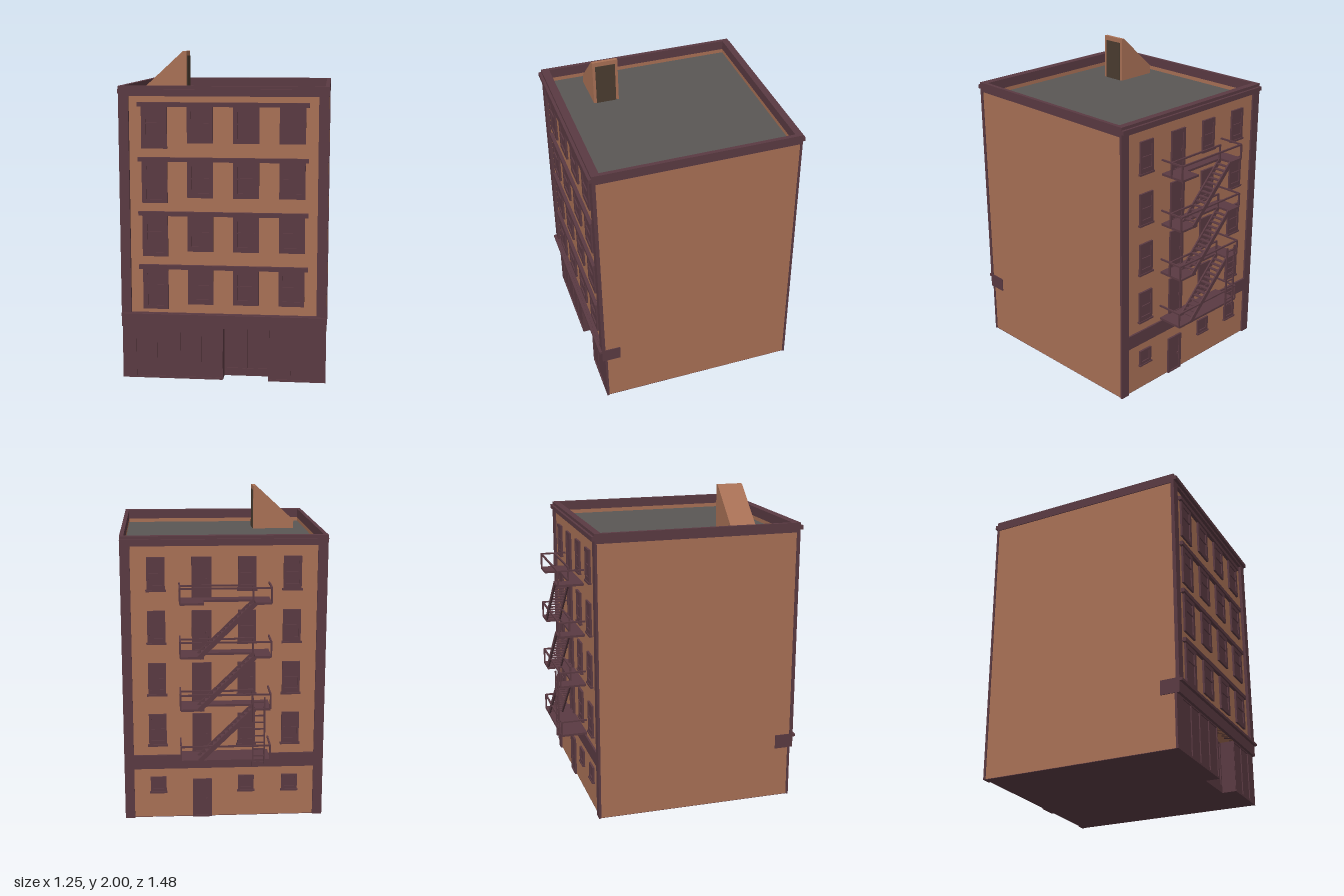
import * as THREE from 'three';

const mat = (color) => new THREE.MeshStandardMaterial({ color });
const brick = mat(0xa87055), trim = mat(0x5a3a42), roofing = mat(0x5a5755), darkDoor = mat(0x4a3c30);

const FLOOR = 0.328; // storey height
const COLUMNS = [-0.413, -0.138, 0.138, 0.413];

// Box given by its minimum and maximum corners
function box(parent, name, m, x0, x1, y0, y1, z0, z1) {
  const mesh = new THREE.Mesh(new THREE.BoxGeometry(x1 - x0, y1 - y0, z1 - z0), m);
  mesh.position.set((x0 + x1) / 2, (y0 + y1) / 2, (z0 + z1) / 2);
  mesh.name = name;
  parent.add(mesh);
  return mesh;
}

function polygon(points) {
  return new THREE.Shape(points.map(([x, y]) => new THREE.Vector2(x, y)));
}

function extrude(parent, name, m, shape, depth) {
  const mesh = new THREE.Mesh(new THREE.ExtrudeGeometry(shape, { depth, bevelEnabled: false }), m);
  mesh.name = name;
  parent.add(mesh);
  return mesh;
}

const rect = (x0, x1, y0, y1) => [[x0, y0], [x1, y0], [x1, y1], [x0, y1]];

// Flat frame facing +z with rectangular openings and a pane set back in them
function framed(parent, name, outer, openings, z, depth = 0.013) {
  const g = new THREE.Group();
  g.name = name;
  const shape = polygon(rect(...outer));
  openings.forEach((o) => shape.holes.push(polygon(rect(...o))));
  extrude(g, 'frame', trim, shape, depth).position.z = z;
  const [x0, x1, y0, y1] = outer;
  box(g, 'pane', trim, x0 + 0.003, x1 - 0.003, y0 + 0.003, y1 - 0.003, z - 0.003, z + depth * 0.45);
  parent.add(g);
}

// Sash window: two openings, one above the other
function sash(parent, name, cx, y0, y1, w, paneW, z, foot = 0.03) {
  const split = y1 - 0.1, p = paneW / 2;
  framed(parent, name, [cx - w / 2, cx + w / 2, y0, y1],
    [[cx - p, cx + p, y0 + foot, split - 0.004], [cx - p, cx + p, split + 0.004, y1 - 0.027]], z);
}

// Corner strips, floor band and cornice shared by front and back; z is the wall plane
function wallTrim(g, z, pierBottom, out, lip) {
  for (const s of [-1, 1]) {
    const a = s * 0.565, b = s * 0.625;
    box(g, 'cornerStrip', trim, Math.min(a, b), Math.max(a, b), pierBottom, 1.74, z - 0.002, z + out);
  }
  box(g, 'cornice', trim, -0.625, 0.625, 1.74, 1.8, z - 0.03, z + out);
  box(g, 'corniceMoulding', trim, -0.625, 0.625, 1.757, 1.782, z, z + lip);
}

function buildFront() {
  const g = new THREE.Group();
  g.name = 'frontFacade';
  const z = 0.7;
  wallTrim(g, z, 0.42, 0.02, 0.038);
  box(g, 'shopBand', trim, -0.625, 0.625, 0.33, 0.42, 0.6, 0.72);
  box(g, 'shopBandMoulding', trim, -0.625, 0.625, 0.4, 0.417, 0.71, 0.738);
  // Four storeys of windows under a continuous lintel
  for (let f = 0; f < 4; f++) {
    const top = 0.694 + f * FLOOR;
    box(g, 'lintel', trim, -0.513, 0.51, top, top + 0.026, z - 0.002, z + 0.022);
    COLUMNS.forEach((x, i) => i === 0
      ? sash(g, 'tallWindow', x, top - 0.25, top, 0.155, 0.098, z, 0.022)
      : sash(g, 'window', x, top - 0.217, top, 0.155, 0.106, z));
  }
  // Shop front with a recessed entrance
  const bays = (starts, y0) => starts.map((x) => [x, x + 0.123, y0, 0.322]);
  framed(g, 'shopWindows', [-0.625, -0.008, 0, 0.33], bays([-0.54, -0.412, -0.268, -0.138], 0.012), 0.69, 0.012);
  framed(g, 'shopWindowRight', [0.277, 0.625, 0, 0.33], bays([0.283, 0.41], 0.012), 0.69, 0.012);
  framed(g, 'shopDoors', [-0.008, 0.277, 0, 0.33], bays([0.006, 0.138], 0.048), 0.6, 0.012);
  box(g, 'entranceSide', trim, -0.012, -0.004, 0, 0.33, 0.6, 0.7);
  box(g, 'entranceSide', trim, 0.273, 0.281, 0, 0.33, 0.6, 0.7);
  return g;
}

// Built facing +z, then turned to face the rear
function buildBack() {
  const g = new THREE.Group();
  g.name = 'backFacade';
  const z = 0.56;
  wallTrim(g, z, 0, 0.012, 0.027);
  box(g, 'floorBand', trim, -0.57, 0.57, 0.33, 0.42, z - 0.002, z + 0.012);
  const door = (x, y0, y1) => {
    framed(g, 'backDoor', [x - 0.06, x + 0.06, y0, y1], [[x - 0.04, x + 0.04, y0 + 0.01, y1 - 0.025]], z);
    box(g, 'doorHandle', trim, x + 0.025, x + 0.033, y0 + 0.11, y0 + 0.125, z, z + 0.015);
  };
  for (let f = 0; f < 4; f++) {
    const top = 0.69 + f * FLOOR;
    COLUMNS.forEach((x, i) => {
      if (i === 1) return door(x, top - 0.255, top);
      sash(g, 'backWindow', x, top - 0.2, top, 0.11, 0.08, z);
      box(g, 'sill', trim, x - 0.062, x + 0.062, top - 0.21, top - 0.198, z, z + 0.018);
    });
  }
  COLUMNS.forEach((x, i) => {
    if (i === 1) return door(x, 0, 0.255);
    framed(g, 'smallWindow', [x - 0.05, x + 0.05, 0.175, 0.275], [[x - 0.033, x + 0.033, 0.195, 0.258]], z);
    box(g, 'sill', trim, x - 0.055, x + 0.055, 0.167, 0.177, z, z + 0.018);
  });
  g.rotation.y = Math.PI;
  return g;
}

function buildFireEscape() {
  const g = new THREE.Group();
  g.name = 'fireEscape';
  const t = 0.005, zIn = -0.637, zOut = -0.723, X = 0.272;
  for (let f = 0; f < 4; f++) {
    const y = 0.435 + f * FLOOR, rail = y + 0.093;
    // Landing, with a stair opening on all but the lowest
    const slab = (x0, x1, z0, z1) => box(g, 'landing', trim, x0, x1, y - 0.007, y + 0.007, z0, z1);
    if (f === 0) slab(-X, X, -0.728, -0.558);
    else {
      slab(-X, X, zIn, -0.558);
      slab(-X, -0.175, -0.728, zIn);
      slab(0.13, X, -0.728, zIn);
    }
    // Railings
    box(g, 'outerRail', trim, -X, X, rail - t, rail + t, zOut - t, zOut + t);
    if (f > 0) box(g, 'innerRail', trim, -0.175, X, rail - t, rail + t, zIn - t, zIn + t);
    for (const x of [-X, X]) {
      box(g, 'endRail', trim, x - t, x + t, rail - t, rail + t, zOut, -0.558);
      box(g, 'post', trim, x - t, x + t, y, rail, zOut - t, zOut + t);
    }
    if (f > 0) for (const x of [-0.17, X]) box(g, 'post', trim, x - t, x + t, y, rail, zIn - t, zIn + t);
    if (f === 3) continue;
    // Flight up to the next landing
    const xa = 0.16, xb = -0.175, run = xa - xb;
    for (const z of [zIn, zOut]) {
      const s = box(g, 'stringer', trim, -Math.hypot(run, FLOOR) / 2, Math.hypot(run, FLOOR) / 2, -0.014, 0.014, -t, t);
      s.position.set((xa + xb) / 2, y + FLOOR / 2, z);
      s.rotation.z = -Math.atan2(FLOOR, run);
    }
    for (let i = 1; i <= 13; i++) {
      const x = xa - (run * i) / 14, ty = y + (FLOOR * i) / 14;
      box(g, 'tread', trim, x - 0.011, x + 0.011, ty - 0.003, ty + 0.003, zOut, zIn);
    }
  }
  // Drop ladder
  for (const x of [-0.235, -0.165]) box(g, 'ladderSide', trim, x - t, x + t, 0.4, 0.84, -0.738, -0.728);
  for (let i = 0; i < 10; i++) {
    const y = 0.425 + i * 0.043;
    box(g, 'ladderRung', trim, -0.235, -0.165, y - 0.004, y + 0.004, -0.737, -0.73);
  }
  return g;
}

export function createModel() {
  const model = new THREE.Group();
  model.name = 'apartmentBuilding';

  // Ground floor with the entrance notch, and the storeys above
  const W = 0.62;
  const plan = polygon([[-W, 0.56], [-W, -0.69], [-0.008, -0.69], [-0.008, -0.6], [0.277, -0.6], [0.277, -0.69], [W, -0.69], [W, 0.56]]);
  const ground = extrude(model, 'groundFloorWalls', brick, plan, 0.328);
  ground.rotation.x = -Math.PI / 2;
  ground.position.y = 0.002;
  const base = extrude(model, 'underside', trim, plan, 0.003);
  base.rotation.x = -Math.PI / 2;
  box(model, 'upperWalls', brick, -W, W, 0.33, 1.71, -0.56, 0.7);
  box(model, 'roof', roofing, -0.6, 0.6, 1.705, 1.715, -0.53, 0.69);

  // Parapet: brick below, capped with trim
  for (const s of [-1, 1]) {
    const span = (a, b) => [Math.min(s * a, s * b), Math.max(s * a, s * b)];
    box(model, 'parapetSide', brick, ...span(0.6, W), 1.71, 1.74, -0.56, 0.7);
    box(model, 'parapetCap', trim, ...span(0.6, 0.625), 1.74, 1.8, -0.56, 0.7);
  }
  box(model, 'parapetFront', brick, -W, W, 1.71, 1.74, 0.672, 0.7);
  box(model, 'parapetBack', brick, -W, W, 1.71, 1.74, -0.56, -0.53);

  // Roof stair house with a sloping back and a door
  const house = polygon([[-0.525, 1.71], [-0.25, 1.71], [-0.25, 2], [-0.272, 2], [-0.525, 1.768]]);
  extrude(model, 'stairHouse', brick, house, 0.162).position.z = 0.306;
  box(model, 'stairHouseDoor', darkDoor, -0.26, -0.247, 1.715, 1.972, 0.324, 0.45);

  model.add(buildFront(), buildBack(), buildFireEscape());
  return model;
}
